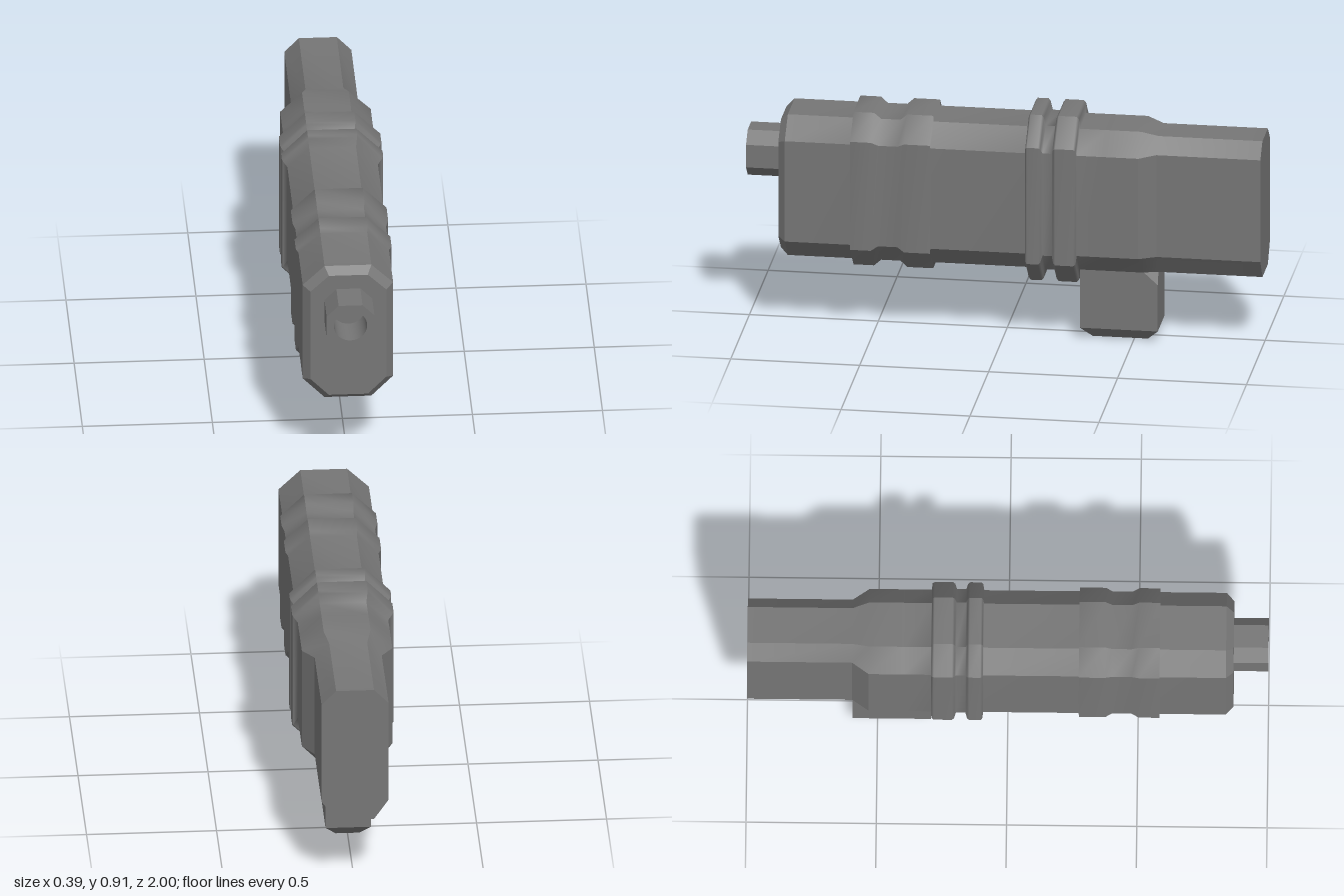
import * as THREE from 'three';
import { toCreasedNormals } from 'three/addons/utils/BufferGeometryUtils.js';
import { ConvexGeometry } from 'three/addons/geometries/ConvexGeometry.js';

const material = new THREE.MeshStandardMaterial({ color: 0x767676 });

// Chamfered upright octagon: half width, half width of top flat,
// bottom, top, and the heights where the side walls start and end
function octagon(z, hw, flat, y0, y1, s0, s1) {
  return [
    [flat, y0], [hw, s0], [hw, s1], [flat, y1],
    [-flat, y1], [-hw, s1], [-hw, s0], [-flat, y0],
  ].map(([x, y]) => [x, y, z]);
}

// Body section grown by t: 0 = plain body, 0.5 = band, 1 = collar ring
const grown = (z, t) => octagon(z,
  0.174 + 0.021 * t, 0.09 + 0.005 * t,
  0.285 - 0.05 * t, 0.86 + 0.05 * t,
  0.37 - 0.035 * t, 0.78 + 0.03 * t);

// Skin through sections ordered from front (+z) to back, capped at both ends.
// Each of the eight sides is its own strip, so the long edges stay sharp.
function loft(sections) {
  const positions = [], index = [];
  const n = 8, rows = sections.length;
  for (let j = 0; j < n; j++) {
    const base = positions.length / 3;
    for (const s of sections) positions.push(...s[j], ...s[(j + 1) % n]);
    for (let i = 0; i < rows - 1; i++) {
      const a = base + 2 * i;
      index.push(a, a + 2, a + 3, a, a + 3, a + 1);
    }
  }
  const front = positions.length / 3, back = front + n;
  positions.push(...sections[0].flat(), ...sections[rows - 1].flat());
  for (let j = 1; j < n - 1; j++) {
    index.push(front, front + j, front + j + 1, back, back + j + 1, back + j);
  }
  const g = new THREE.BufferGeometry();
  g.setAttribute('position', new THREE.Float32BufferAttribute(positions, 3));
  g.setIndex(index);
  g.computeVertexNormals();
  return g;
}

export function createModel() {
  const model = new THREE.Group();
  const add = (name, geometry) => {
    const mesh = new THREE.Mesh(geometry, material);
    mesh.name = name;
    model.add(mesh);
    return mesh;
  };

  // Bevelled nose plate
  add('nose', loft([
    octagon(0.867, 0.146, 0.075, 0.31, 0.832, 0.382, 0.765),
    grown(0.838, 0),
  ]));

  // Body with two sloping bands and two collar rings, shaded softly along its length
  add('body', loft([
    [0.838, 0], [0.584, 0], [0.583, 0.48], [0.503, 0.48], [0.476, 0.01],
    [0.401, 0.01], [0.374, 0.48], [0.274, 0.48], [0.273, 0],
    [-0.093, 0], [-0.097, 0.8], [-0.104, 1], [-0.147, 1], [-0.155, 0.8], [-0.162, 0.12],
    [-0.198, 0.12], [-0.205, 0.8], [-0.213, 1], [-0.283, 1], [-0.292, 0.8], [-0.294, 0],
    [-0.4, 0],
  ].map(([z, t]) => grown(z, t))));

  // Rear section, tapering to a narrower block
  add('rearBlock', toCreasedNormals(loft([
    grown(-0.4, 0),
    grown(-0.533, 0),
    octagon(-0.597, 0.129, 0.073, 0.285, 0.84, 0.366, 0.782),
    octagon(-1, 0.129, 0.073, 0.285, 0.84, 0.366, 0.782),
  ]), 0.5));

  // Octagonal nozzle with a round bore
  const outline = new THREE.Shape();
  const r = 0.092, c = 0.046;
  [[c, -r], [r, -c], [r, c], [c, r], [-c, r], [-r, c], [-r, -c], [-c, -r]]
    .forEach(([x, y], i) => (i ? outline.lineTo(x, y) : outline.moveTo(x, y)));
  outline.closePath();
  const bore = new THREE.Path();
  bore.absarc(0, 0.003, 0.064, 0, Math.PI * 2, true);
  outline.holes.push(bore);
  const nozzle = add('nozzle', toCreasedNormals(
    new THREE.ExtrudeGeometry(outline, { depth: 0.14, bevelEnabled: false, curveSegments: 16 }), 0.5));
  nozzle.position.set(0, 0.681, 0.86);

  // Short grip: bevelled foot, rear upper corners trimmed into the body
  const points = [];
  for (const s of [-1, 1]) {
    for (const [x, y, z] of [
      [0.045, 0, -0.338], [0.045, 0, -0.552],
      [0.087, 0.046, -0.294], [0.087, 0.046, -0.596],
      [0.087, 0.3, -0.294], [0.087, 0.3, -0.525],
      [0.087, 0.235, -0.596], [0.06, 0.3, -0.596],
    ]) points.push(new THREE.Vector3(s * x, y, z));
  }
  add('grip', toCreasedNormals(new ConvexGeometry(points), 0.3));

  return model;
}
